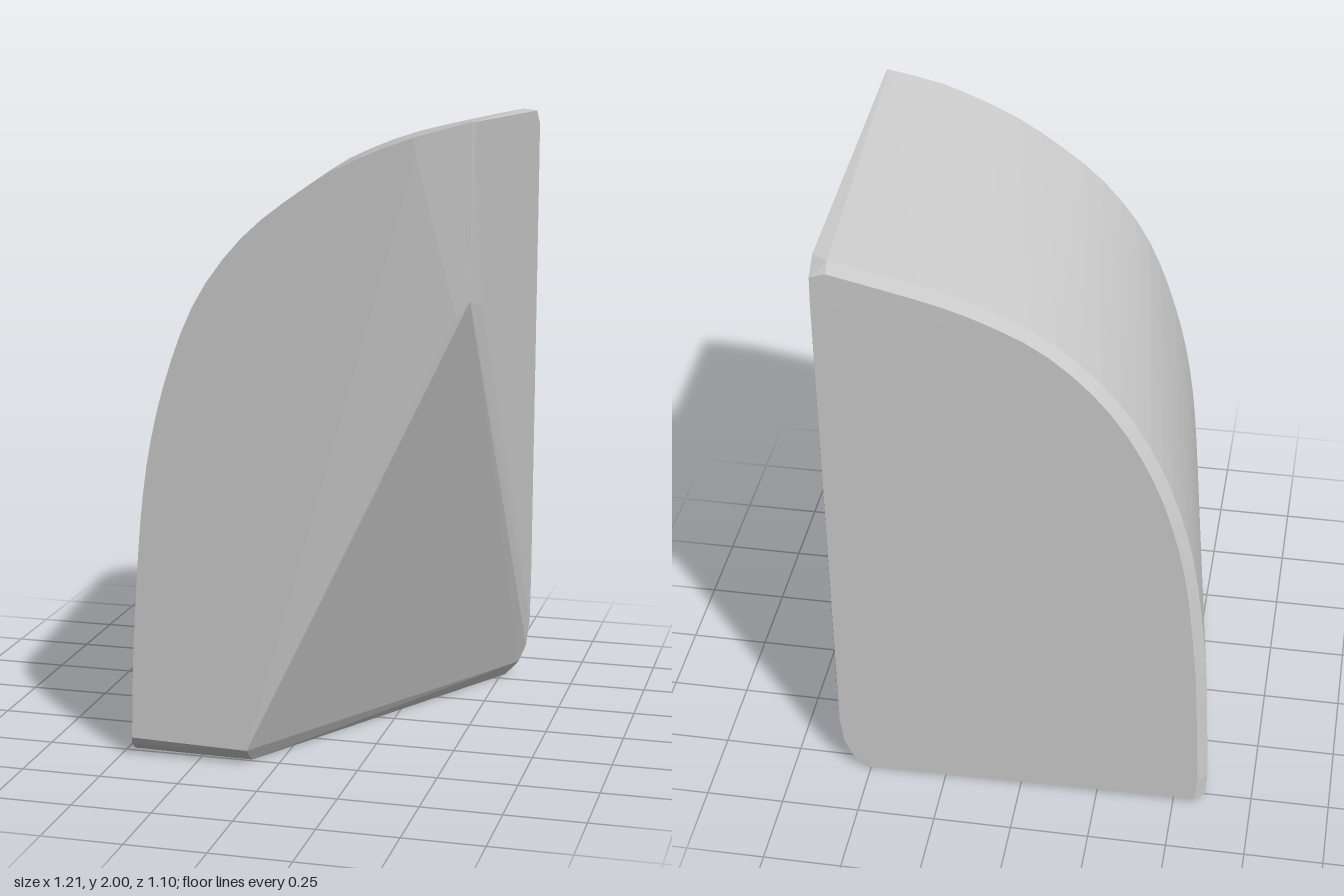
import * as THREE from 'three';
import { ConvexGeometry } from 'three/addons/geometries/ConvexGeometry.js';

// Smooth arc through a few [x, y] points, placed at depth z
function arc(points, z, inset = 0, count = 28) {
  const curve = new THREE.CatmullRomCurve3(points.map(([x, y]) => new THREE.Vector3(x, y, z)), false, 'centripetal');
  return curve.getSpacedPoints(count).map((p) => {
    // shift towards the middle of the face for a bevelled rim
    const d = new THREE.Vector3(0.6 - p.x, (0.4 - p.y) * 0.7, 0).normalize();
    return p.addScaledVector(d, inset);
  });
}

export function createModel() {
  const group = new THREE.Group();
  group.name = 'cutBlock';

  // Curved outlines of the front and back ends
  const front = [[-0.462, 0.06], [-0.45, 0.4], [-0.402, 0.93], [-0.33, 1.23], [-0.235, 1.46],
    [-0.1, 1.64], [0.05, 1.765], [0.2, 1.86], [0.4, 1.945], [0.59, 2.0]];
  const back = [[-0.606, 0.1], [-0.58, 0.6], [-0.52, 1.03], [-0.42, 1.33], [-0.28, 1.56],
    [-0.1, 1.73], [0.05, 1.81], [0.2, 1.865], [0.4, 1.915], [0.55, 1.948]];

  const corners = [
    // top right corner and upright front edge
    [0.598, 2.0, 0.53], [0.59, 1.48, 0.535], [0.43, 1.9, 0.553], [0.55, 1.43, 0.545],
    [0.6, 1.945, -0.49], [0.6, 1.9, -0.545], [0.6, 1.82, -0.55],
    // softened edge of the slanted cut
    [0.6, 1.45, 0.41], [0.6, 0.35, -0.54], [0.596, 0.2, -0.55],
    [-0.09, 0.05, 0.552], [-0.07, 0.2, 0.552],
    // rounded lower back corner
    [0.585, 0.11, -0.55], [0.56, 0.05, -0.55], [0.515, 0.0, -0.55],
    // base
    [-0.09, 0.0, 0.49], [-0.475, 0.0, 0.48], [-0.47, 0.03, 0.53],
    [-0.6, 0.02, -0.52], [-0.57, 0.02, -0.548],
  ].map((c) => new THREE.Vector3(...c));

  const points = [...arc(front, 0.553), ...arc(back, -0.52), ...arc(back, -0.548, 0.03), ...corners];
  // Keep the upper front corner slightly set back
  for (const p of points) if (p.z > 0.5 && p.x > 0.43) p.z = Math.min(p.z, 0.553 - (p.x - 0.43) * 0.13);

  const body = new THREE.Mesh(
    new ConvexGeometry(points),
    new THREE.MeshStandardMaterial({ color: 0xcccccc, flatShading: true }),
  );
  body.name = 'body';
  group.add(body);
  return group;
}
